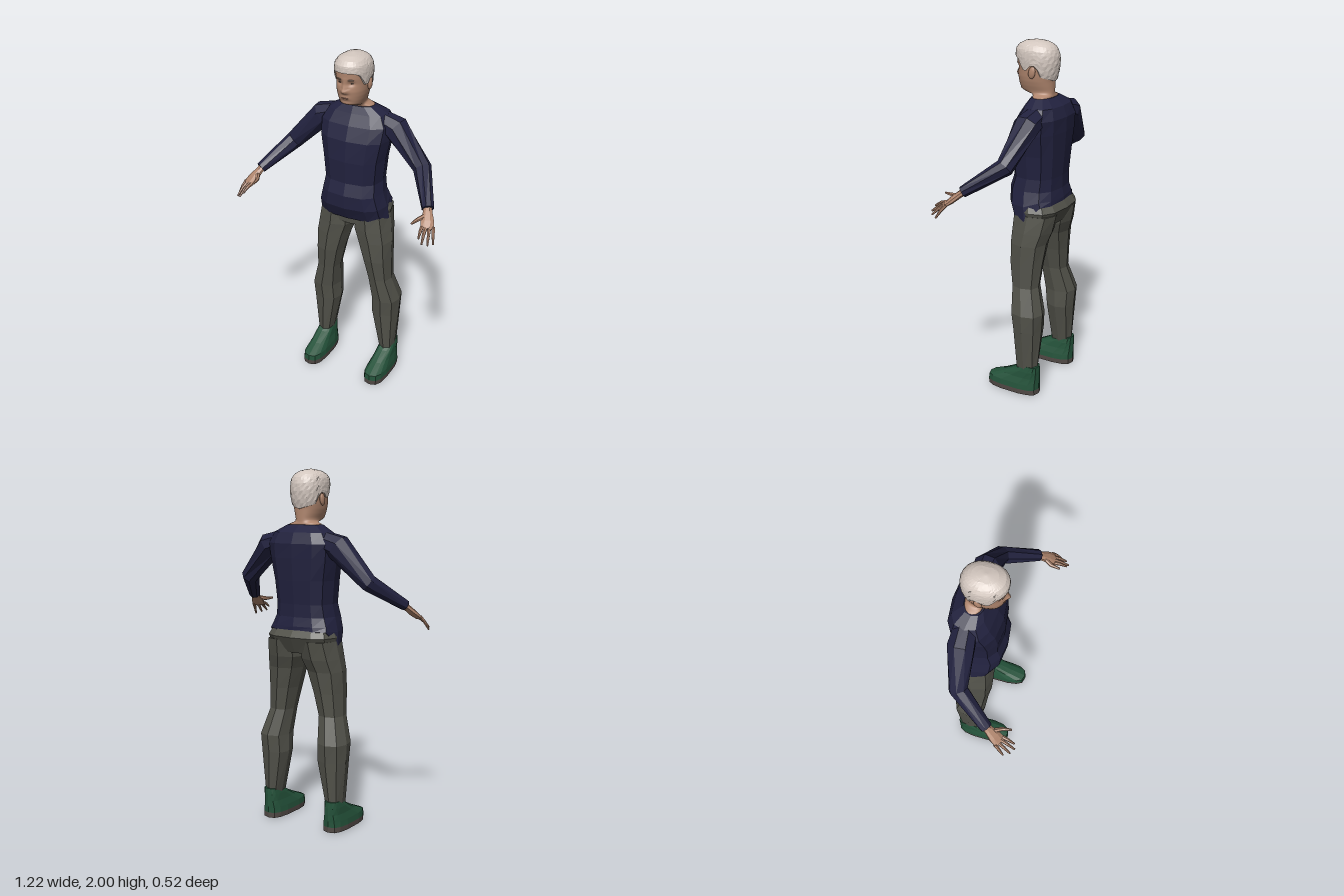
import * as THREE from 'three';

const mat = (name, color) => Object.assign(new THREE.MeshStandardMaterial({ color }), { name });
const V = (x, y, z) => new THREE.Vector3(x, y, z);

// Skin a list of point rings; flat facets unless smooth, ends closed with fans.
function loft(rings, smooth = false, caps = true) {
  const n = rings[0].length, pos = [], idx = [];
  rings.forEach(r => r.forEach(p => pos.push(p.x, p.y, p.z)));
  for (let i = 0; i < rings.length - 1; i++) {
    for (let j = 0; j < n; j++) {
      const k = (j + 1) % n, a = i * n + j, b = i * n + k;
      idx.push(a, b, b + n, a, b + n, a + n);
    }
  }
  if (caps) {
    const e = (rings.length - 1) * n;
    for (let j = 1; j < n - 1; j++) idx.push(0, j + 1, j, e, e + j, e + j + 1);
  }
  let g = new THREE.BufferGeometry();
  g.setAttribute('position', new THREE.Float32BufferAttribute(pos, 3));
  g.setIndex(idx);
  if (!smooth) g = g.toNonIndexed();
  g.computeVertexNormals();
  return g;
}

// Linear lookup in rows of [key, ...values].
function lookup(table, key) {
  let i = 0;
  while (i < table.length - 2 && key > table[i + 1][0]) i++;
  const a = table[i], b = table[i + 1];
  const t = THREE.MathUtils.clamp((key - a[0]) / (b[0] - a[0]), 0, 1);
  return a.slice(1).map((v, k) => v + (b[k + 1] - v) * t);
}

const pow = (v, p) => Math.sign(v) * Math.abs(v) ** p;
// Point on a rounded outline: x from x0 to x1, z from back to front, angle 0 at the front.
const outline = (a, y, x0, x1, front, back, p) => V(
  (x0 + x1) / 2 + (x1 - x0) / 2 * pow(Math.sin(a), p), y,
  (front + back) / 2 + (front - back) / 2 * pow(Math.cos(a), p));
const flatRing = ([y, x0, x1, f, b], n, p) =>
  Array.from({ length: n }, (_, j) => outline(j / n * Math.PI * 2, y, x0, x1, f, b, p));

// Rings along a path of [x, y, z, halfWidth, halfThickness].
function limb(path, n) {
  const c = path.map(q => V(q[0], q[1], q[2]));
  return path.map((q, i) => {
    const d = c[Math.min(i + 1, c.length - 1)].clone().sub(c[Math.max(i - 1, 0)]).normalize();
    const u = V(0, 1, 0).cross(d).normalize(), v = d.clone().cross(u);
    return Array.from({ length: n }, (_, j) => {
      const a = (j + 0.5) / n * Math.PI * 2;
      return c[i].clone().addScaledVector(u, q[3] * Math.cos(a)).addScaledVector(v, q[4] * Math.sin(a));
    });
  });
}
const mirror = (rings, s) => s > 0 ? rings : rings.map(r => r.map(p => V(-p.x, p.y, p.z)).reverse());

// Head profile: y, half width, front z, back z
const HEAD = [
  [1.66, 0.085, -0.07, -0.16], [1.704, 0.098, -0.062, -0.167], [1.714, 0.066, -0.05, -0.165],
  [1.722, 0.06, -0.005, -0.165], [1.735, 0.063, 0.026, -0.165], [1.76, 0.072, 0.033, -0.165],
  [1.785, 0.079, 0.037, -0.165], [1.81, 0.083, 0.041, -0.168], [1.85, 0.086, 0.038, -0.172],
  [1.88, 0.087, 0.044, -0.174], [1.92, 0.087, 0.045, -0.172], [1.96, 0.07, 0.025, -0.15],
  [1.985, 0.03, -0.02, -0.1]];
const NOSE = [[1.793, 0], [1.803, 0.016], [1.814, 0.023], [1.84, 0.013], [1.87, 0.004], [1.89, 0]];
const bell = t => Math.exp(-t * t);

function headPoint(a, y) {
  const [w, f, b] = lookup(HEAD, y), q = outline(a, y, -w, w, f, b, 0.88);
  if (Math.cos(a) > 0 && y > 1.72) {
    const x = Math.abs(q.x);
    q.z += lookup(NOSE, y)[0] * bell(x / (y < 1.825 ? 0.017 : 0.012))
      - 0.01 * bell((x - 0.034) / 0.017) * bell((y - 1.855) / 0.013)
      + 0.004 * bell(x / 0.022) * bell((y - 1.773) / 0.01)
      - 0.004 * bell(x / 0.03) * bell((y - 1.755) / 0.007);
  }
  return q;
}
const faceZ = (x, y) => headPoint(Math.asin((Math.abs(x) / lookup(HEAD, y)[0]) ** (1 / 0.88)), y).z;

// Hair shell: y, half width, front z, back z; hairline: angle from front, y
const HAIR = [
  [1.78, 0.078, 0.04, -0.172], [1.83, 0.092, 0.045, -0.186], [1.88, 0.098, 0.05, -0.192],
  [1.92, 0.098, 0.056, -0.19], [1.95, 0.093, 0.054, -0.181], [1.975, 0.076, 0.036, -0.16],
  [1.992, 0.045, 0, -0.125], [2.0, 0.006, -0.055, -0.067]];
const HAIRLINE = [[0, 1.915], [0.5, 1.915], [0.95, 1.9], [1.15, 1.845], [1.45, 1.845],
  [1.6, 1.875], [1.85, 1.87], [2.1, 1.81], [3.15, 1.785]];

function hairRings() {
  const n = 36, m = 14, rings = [];
  for (let i = -1; i <= m; i++) {
    rings.push(Array.from({ length: n }, (_, j) => {
      const a = j / n * Math.PI * 2, low = lookup(HAIRLINE, Math.min(a, Math.PI * 2 - a))[0];
      const t = Math.max(i, 0) / m, y = low + (2 - low) * Math.sin(t * Math.PI / 2);
      const [w, f, b] = lookup(HAIR, y);
      const lump = i < 0 ? 0.9 : 1 + 0.012 * Math.sin(j * 2.6 + i * 1.9) * (1 - t);
      return outline(a, y, -w * lump, w * lump, f * lump, b * lump, 0.92);
    }));
  }
  return rings;
}

export function createModel() {
  const root = new THREE.Group();
  root.name = 'standingMan';
  const shirt = mat('navy shirt', 0x22223f), pants = mat('grey trousers', 0x52524a);
  const green = mat('green shoe', 0x24523a), soleMat = mat('brown sole', 0x524a46);
  const skin = mat('skin', 0xb0866e), hair = mat('pale hair', 0xd2c6be);
  const dark = mat('dark eye', 0x3a2c26), brow = mat('brow', 0x826a5c), lip = mat('lip', 0x8c5f50);
  const add = (name, g, m) => {
    const mesh = new THREE.Mesh(g, m);
    mesh.name = name;
    root.add(mesh);
    return mesh;
  };

  // Sweater body with a hem that rises towards the back
  const body = [
    [1.04, 0.208, 0.012, -0.215], [1.12, 0.2, 0.052, -0.235], [1.2, 0.178, 0.057, -0.225],
    [1.27, 0.168, 0.035, -0.225], [1.4, 0.18, 0.04, -0.236], [1.52, 0.203, 0.03, -0.244],
    [1.6, 0.21, 0, -0.246], [1.66, 0.175, -0.035, -0.225], [1.7, 0.105, -0.055, -0.172]
  ].map(([y, w, f, b]) => flatRing([y, -w, w, f, b], 12, 0.75));
  body[0].forEach((p, j) => { if (j > 3 && j < 9) { p.y = 1.125; p.z -= 0.02; } });
  body[1].forEach((p, j) => { if (j > 3 && j < 9) p.y = 1.15; });
  add('sweaterBody', loft(body), shirt);

  // Seat of the trousers
  add('trouserSeat', loft([[1.0, 0.19, -0.005, -0.215], [1.09, 0.21, 0.004, -0.26], [1.16, 0.175, -0.01, -0.215]]
    .map(([y, w, f, b]) => flatRing([y, -w, w, f, b], 12, 0.75))), pants);

  for (const s of [1, -1]) {
    const side = s > 0 ? 'left' : 'right';
    const addSide = (name, rings, m) => add(side + name, loft(mirror(rings, s)), m);

    // Trouser leg: y, inner x, outer x, front z, back z
    addSide('TrouserLeg', [
      [0.14, 0.168, 0.255, -0.06, -0.188], [0.4, 0.112, 0.278, -0.04, -0.208], [0.5, 0.115, 0.283, -0.028, -0.216],
      [0.65, 0.1, 0.238, -0.015, -0.173], [0.78, 0.068, 0.236, 0.003, -0.185], [0.9, 0.03, 0.235, 0.007, -0.2],
      [0.97, 0.004, 0.225, 0.008, -0.225], [1.07, 0.004, 0.207, 0.006, -0.247]
    ].map(r => flatRing(r, 8, 0.8)), pants);

    // Shoe and sole
    addSide('Sole', [[0, 0.145, 0.275, 0.126, -0.2], [0.03, 0.143, 0.277, 0.128, -0.2]]
      .map(r => flatRing(r, 14, 0.7)), soleMat);
    addSide('Shoe', [
      [0.03, 0.143, 0.277, 0.128, -0.2], [0.062, 0.147, 0.273, 0.124, -0.2], [0.1, 0.158, 0.263, 0.035, -0.2],
      [0.14, 0.164, 0.26, -0.045, -0.2], [0.175, 0.172, 0.254, -0.1, -0.198]
    ].map(r => flatRing(r, 14, 0.7)), green);

    // Sleeve from the shoulder to the wrist
    addSide('Sleeve', limb([
      [0.1, 1.625, -0.135, 0.06, 0.055], [0.225, 1.585, -0.13, 0.075, 0.072],
      [0.4, 1.4, -0.1, 0.052, 0.05], [0.52, 1.27, 0.085, 0.034, 0.03]], 8), shirt);

    // Hand: palm, four fingers and a thumb
    addSide('Palm', limb([
      [0.508, 1.282, 0.065, 0.024, 0.02], [0.525, 1.255, 0.1, 0.027, 0.018],
      [0.542, 1.223, 0.138, 0.038, 0.017], [0.557, 1.197, 0.17, 0.038, 0.011]], 8), skin);
    [[0.54, 1.175, 0.245], [0.562, 1.15, 0.253], [0.588, 1.14, 0.235], [0.605, 1.132, 0.2]].forEach((tip, i) => {
      const k = -0.029 + i * 0.0195, base = [0.554 + k * 0.9, 1.205, 0.162 - k * 0.45];
      const mid = base.map((v, c) => (v + tip[c]) / 2 + (c === 1 ? 0.006 : 0));
      addSide('Finger' + (i + 1), limb([[...base, 0.011, 0.01], [...mid, 0.009, 0.009], [...tip, 0.005, 0.005]], 6), skin);
    });
    addSide('Thumb', limb([[0.523, 1.245, 0.115, 0.015, 0.013], [0.495, 1.235, 0.165, 0.011, 0.011],
      [0.486, 1.235, 0.215, 0.006, 0.006]], 6), skin);

    // Ear, eye and brow
    const blob = (name, x, y, z, sx, sy, sz, m) => {
      const g = new THREE.SphereGeometry(1, 12, 8).scale(sx, sy, sz);
      const mesh = add(side + name, g, m);
      mesh.position.set(s * x, y, z);
      return mesh;
    };
    blob('Ear', 0.089, 1.835, -0.08, 0.011, 0.034, 0.021, skin).rotation.x = -0.2;
    blob('Eye', 0.034, 1.855, faceZ(0.034, 1.855), 0.011, 0.0045, 0.003, dark);
    blob('Brow', 0.035, 1.876, faceZ(0.035, 1.876), 0.018, 0.004, 0.004, brow).rotation.y = s * 0.3;
  }

  // Head with neck, mouth and hair
  const head = Array.from({ length: 60 }, (_, i) => {
    const y = 1.66 + 0.325 * i / 59;
    return Array.from({ length: 72 }, (_, j) => headPoint(j / 72 * Math.PI * 2, y));
  });
  add('head', loft(head, true), skin);
  const mouth = add('mouth', new THREE.SphereGeometry(1, 12, 6).scale(0.022, 0.003, 0.004), lip);
  mouth.position.set(0, 1.773, faceZ(0.012, 1.773));
  add('hair', loft(hairRings()), hair);
  return root;
}
